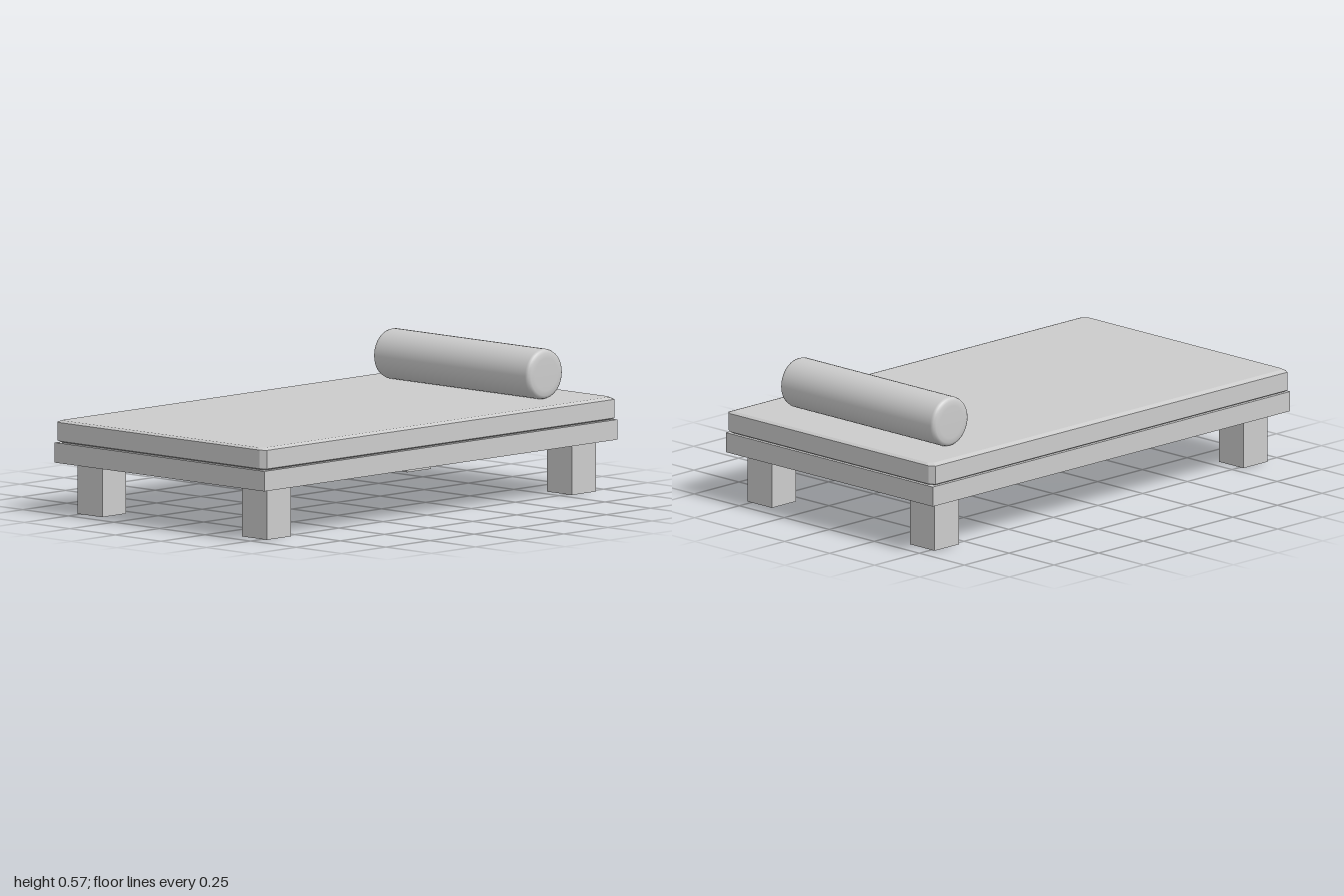
import * as THREE from 'three';

const material = (flat = true) => new THREE.MeshStandardMaterial({
  color: 0xcccccc, flatShading: flat, side: THREE.DoubleSide,
});

function addMesh(parent, name, geometry, x = 0, y = 0, z = 0, flat = true) {
  const mesh = new THREE.Mesh(geometry, material(flat));
  mesh.name = name;
  mesh.position.set(x, y, z);
  parent.add(mesh);
  return mesh;
}

// Box with its underside left open
function openBox(w, h, d) {
  const geometry = new THREE.BoxGeometry(w, h, d);
  const index = Array.from(geometry.index.array);
  index.splice(18, 6); // the -y face
  geometry.setIndex(index);
  return geometry;
}

// Rectangle with clipped corners, counter-clockwise seen from above
function clippedRing(hx, y, hz, cx, cz) {
  return [
    [hx, hz - cz], [hx, -hz + cz], [hx - cx, -hz], [-hx + cx, -hz],
    [-hx, -hz + cz], [-hx, hz - cz], [-hx + cx, hz], [hx - cx, hz],
  ].map(([x, z]) => [x, y, z]);
}

// Skin stacked rings from bottom to top and cap both ends
function loft(rings) {
  const n = rings[0].length;
  const last = (rings.length - 1) * n;
  const index = [];
  for (let r = 0; r < rings.length - 1; r++) {
    for (let i = 0; i < n; i++) {
      const a = r * n + i, b = r * n + (i + 1) % n;
      index.push(a, b, b + n, a, b + n, a + n);
    }
  }
  for (let i = 1; i < n - 1; i++) {
    index.push(0, i + 1, i);
    index.push(last, last + i, last + i + 1);
  }
  const geometry = new THREE.BufferGeometry();
  geometry.setAttribute('position', new THREE.Float32BufferAttribute(rings.flat(2), 3));
  geometry.setIndex(index);
  geometry.computeVertexNormals();
  return geometry;
}

export function createModel() {
  const group = new THREE.Group();
  group.name = 'daybed';

  // Hollow base frame
  addMesh(group, 'frame', openBox(2, 0.08, 1.15), 0, 0.245, 0);

  // Four hollow square legs
  for (const sx of [-1, 1]) {
    for (const sz of [-1, 1]) {
      const name = (sz > 0 ? 'front' : 'back') + (sx > 0 ? 'Left' : 'Right') + 'Leg';
      addMesh(group, name, openBox(0.135, 0.205, 0.137), sx * 0.864, 0.1025, sz * 0.452 + 0.003);
    }
  }

  // Mattress with softened edges and a faint inset panel on top
  addMesh(group, 'mattress', loft([
    clippedRing(0.99, 0.287, 0.565, 0.015, 0.025),
    clippedRing(1, 0.293, 0.575, 0.015, 0.025),
    clippedRing(1, 0.367, 0.575, 0.015, 0.025),
    clippedRing(0.988, 0.375, 0.553, 0.015, 0.02),
    clippedRing(0.81, 0.376, 0.395, 0.004, 0.004),
  ]));

  // Round bolster lying across the head end
  const profile = [
    [0, -0.43], [0.065, -0.43], [0.085, -0.428], [0.096, -0.422], [0.1, -0.41],
    [0.1, 0.41], [0.096, 0.422], [0.085, 0.428], [0.065, 0.43], [0, 0.43],
  ].map(([r, y]) => new THREE.Vector2(r, y));
  const bolster = addMesh(group, 'bolster', new THREE.LatheGeometry(profile, 40), 0.753, 0.475, -0.005, false);
  bolster.rotation.x = Math.PI / 2;

  return group;
}
